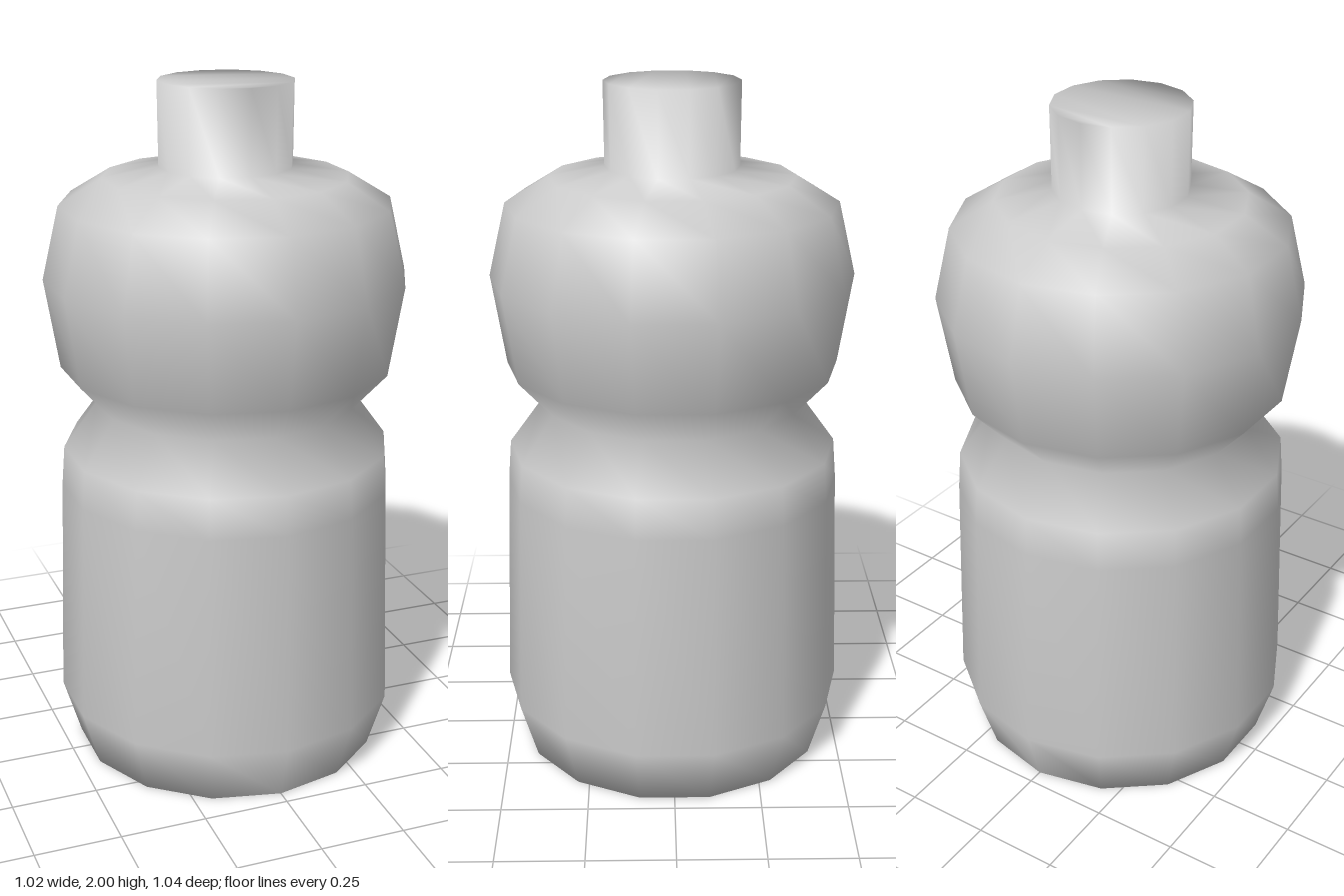
import * as THREE from 'three';
import { mergeVertices } from 'three/addons/utils/BufferGeometryUtils.js';

const SIDES = 14;

// Outline from the base up to the mouth: [radius, height]
const PROFILE = [
  [0.455, 0], [0.507, 0.17], [0.487, 0.83], [0.478, 0.945],   // lower body
  [0.38, 1.08],                                               // waist
  [0.48, 1.19], [0.522, 1.45], [0.473, 1.66], [0.35, 1.735],  // upper body
  [0.19, 1.762], [0.192, 2],                                  // neck
];

// Low-poly turned body whose flat ends share the smooth normals of their rims
function turnedSolid(profile, sides) {
  const lathe = new THREE.LatheGeometry(profile.map(([r, y]) => new THREE.Vector2(r, y)), sides);
  const rows = profile.length;
  const index = Array.from(lathe.index.array);
  const base = (k) => (k % sides) * rows;
  const mouth = (k) => base(k) + rows - 1;

  // Close both ends with bands running between mirrored rim corners
  for (let k = 0; k < sides / 2; k++) {
    const a = k, b = k + 1, c = sides - k - 1, d = sides - k;
    if (b !== c) {
      index.push(mouth(a), mouth(b), mouth(c));
      index.push(base(a), base(c), base(b));
    }
    if (k > 0) {
      index.push(mouth(a), mouth(c), mouth(d));
      index.push(base(a), base(d), base(c));
    }
  }

  lathe.setIndex(index);
  lathe.deleteAttribute('normal');
  lathe.deleteAttribute('uv');
  const solid = mergeVertices(lathe, 1e-4);
  solid.computeVertexNormals();
  return solid;
}

export function createModel() {
  const group = new THREE.Group();
  group.name = 'squeezeBottle';
  const material = new THREE.MeshStandardMaterial({ color: 0xcccccc });

  // Body, waist and neck form one continuous smooth skin
  const bottle = new THREE.Mesh(turnedSolid(PROFILE, SIDES), material);
  bottle.name = 'bottle';
  group.add(bottle);
  return group;
}
